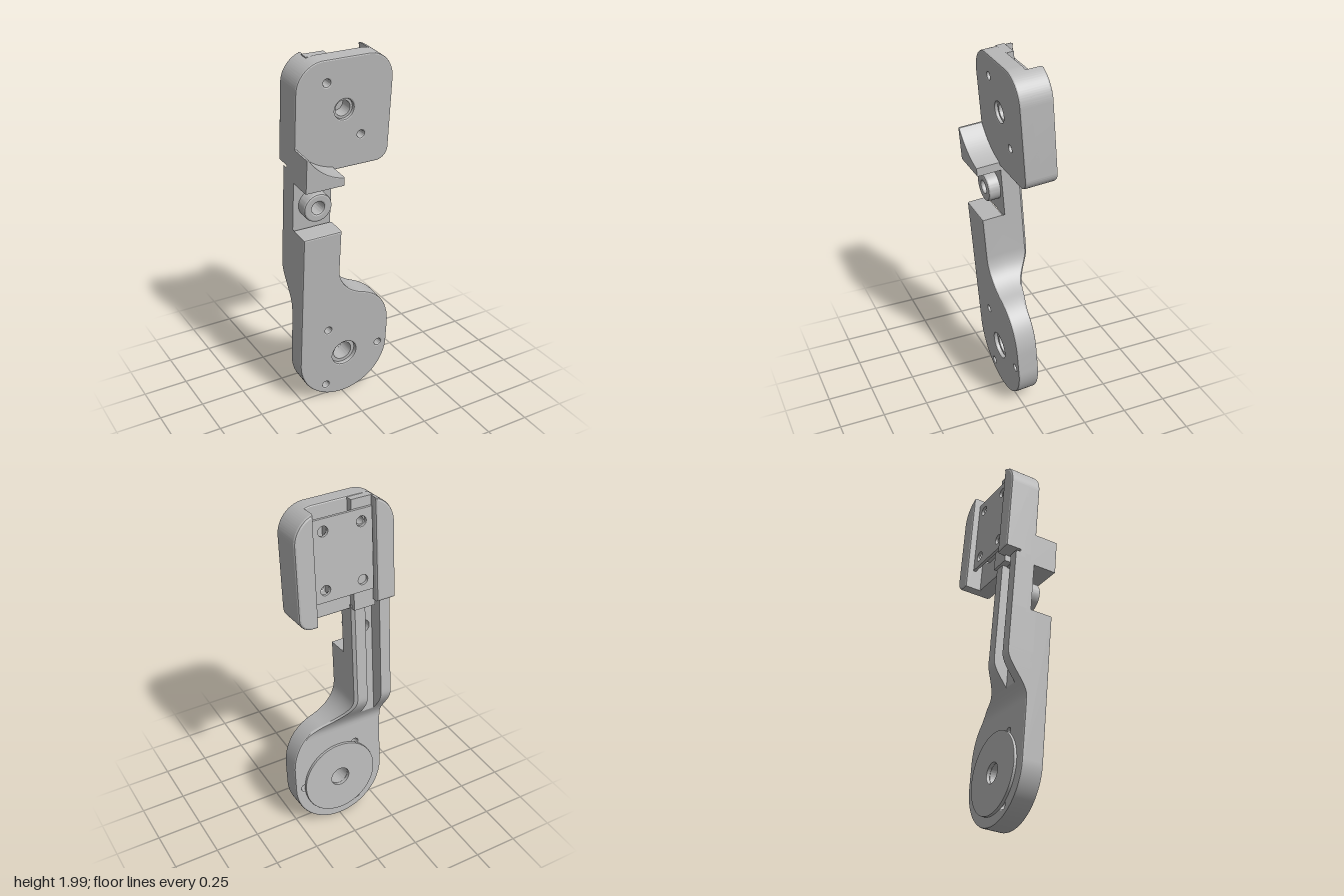
import * as THREE from 'three';
import { toCreasedNormals } from 'three/addons/utils/BufferGeometryUtils.js';

const grey = new THREE.MeshStandardMaterial({ color: 0xb9b9b9 });
grey.name = 'machinedGrey';
const V = (x, y) => new THREE.Vector2(x, y);

// Main dimensions, in the untilted frame
const XL = -0.275, XR = 0.275, ARM = -0.055;
const BASE_Y = 0.278, HEAD_Y = 1.712, TOP = 1.987, BOTTOM = 1.384, STEP_Y = 1.088;
const PIVOT = [-0.165, 1.222];

export function createModel() {
  const model = new THREE.Group();
  const body = new THREE.Group();
  body.name = 'tiltedBody';
  body.rotation.x = 0.0838;
  model.add(body);

  const add = (name, geometry) => {
    const mesh = new THREE.Mesh(toCreasedNormals(geometry, 0.3), grey);
    mesh.name = name;
    body.add(mesh);
  };
  // Extrudes a front outline from z0 to z1, with round holes [x, y, r]
  const slab = (name, shape, z0, z1, bevel = 0, holes = []) => {
    for (const [x, y, r] of holes) shape.holes.push(new THREE.Path().absarc(x, y, r, 0, Math.PI * 2, true));
    const geometry = new THREE.ExtrudeGeometry(shape, {
      depth: z1 - z0 - 2 * bevel, curveSegments: 32, bevelEnabled: bevel > 0,
      bevelSize: bevel, bevelThickness: bevel, bevelOffset: -bevel, bevelSegments: 2,
    });
    add(name, geometry.translate(0, 0, z0 + bevel));
  };
  const rect = (x0, y0, x1, y1) => new THREE.Shape([V(x0, y0), V(x1, y0), V(x1, y1), V(x0, y1)]);
  const ring = (name, x, y, r, hole, z0, z1, bevel = 0) =>
    slab(name, new THREE.Shape().absarc(x, y, r, 0, Math.PI * 2), z0, z1, bevel, [[x, y, hole]]);

  // Round base running up into the front of the arm
  const shoulder = new THREE.CubicBezierCurve(V(XR, 0.4), V(XR, 0.55), V(0.19, 0.635), V(0.1, 0.665));
  const neck = new THREE.CubicBezierCurve(V(0.1, 0.665), V(0.02, 0.69), V(ARM, 0.75), V(ARM, 0.85));
  const side = [...shoulder.getPoints(16), ...neck.getPoints(16).slice(1)];
  const base = new THREE.Shape();
  base.moveTo(XL, BASE_Y);
  base.absarc(0, BASE_Y, XR, Math.PI, Math.PI * 2);
  side.forEach((p) => base.lineTo(p.x, p.y));
  base.lineTo(ARM, STEP_Y);
  base.lineTo(XL, STEP_Y);
  const screws = [0, 1, 2].map((i) => {
    const a = i * Math.PI * 2 / 3;
    return [0.22 * Math.cos(a), BASE_Y + 0.22 * Math.sin(a), 0.02];
  });
  slab('base', base, -0.09, 0.028, 0.008, [[0, BASE_Y, 0.075], ...screws]);
  ring('baseBore', 0, BASE_Y, 0.085, 0.055, -0.085, 0.005);
  ring('baseDisc', 0, BASE_Y, 0.22, 0.055, -0.105, -0.085, 0.003);

  // Rear of the arm: cross-sections with a groove, swept up the neck
  const rows = side.filter((p) => p.y > 0.59).map((p) => [p.x, p.y, -0.07]);
  rows.push([ARM, STEP_Y, -0.07], [ARM, STEP_Y, -0.1], [ARM, 1.41, -0.1]);
  const sections = rows.map(([x, y, f]) => {
    const b = -0.09 - 0.122 * THREE.MathUtils.smoothstep(y, 0.6, 0.83);
    const c = Math.min(0.015, (f - b) / 2);
    const g = Math.max(b, -0.13);
    return [[XL, f], [XL, b], [-0.215, b], [-0.215, g], [-0.13, g], [-0.13, b], [x - c, b], [x, b + c], [x, f]]
      .map(([px, pz]) => [px, y, pz]);
  });
  const verts = [];
  for (let i = 0; i < sections.length - 1; i++) {
    for (let j = 0; j < 8; j++) {
      if (j === 3 && i === sections.length - 2) continue; // floor here is the pierced web
      const [a, b, c, d] = [sections[i][j], sections[i + 1][j], sections[i + 1][j + 1], sections[i][j + 1]];
      verts.push(...a, ...b, ...c, ...a, ...c, ...d);
    }
  }
  const arm = new THREE.BufferGeometry();
  arm.setAttribute('position', new THREE.Float32BufferAttribute(verts, 3));
  add('armRear', arm);
  slab('armWeb', rect(XL, STEP_Y - 0.02, ARM, 1.41), -0.13, -0.1, 0, [[...PIVOT, 0.035]]);
  ring('pivotBoss', ...PIVOT, 0.08, 0.035, -0.11, -0.033, 0.01);

  // Stop block with a hollow concentric with the head and a blunt tip
  const r = 0.312, tip = 1.545;
  const stop = new THREE.Shape([V(XL, tip), V(XL, 1.358), V(ARM, 1.358)]);
  stop.absarc(0, HEAD_Y, r, Math.PI + Math.acos(-ARM / r), Math.PI + Math.asin((HEAD_Y - tip) / r), true);
  slab('stopBlock', stop, -0.13, 0.032, 0.005);

  // Head
  const R = 0.15, q = 0.07;
  const head = new THREE.Shape();
  head.moveTo(XL, BOTTOM);
  head.lineTo(XR - q, BOTTOM);
  head.absarc(XR - q, BOTTOM + q, q, -Math.PI / 2, 0);
  head.absarc(XR - R, TOP - R, R, 0, Math.PI / 2);
  head.absarc(XL + R, TOP - R, R, Math.PI / 2, Math.PI);
  const dx = 0.105, dy = 0.155;
  slab('head', head, -0.187, -0.097, 0.008,
    [[0, HEAD_Y, 0.055], [-dx, HEAD_Y + dy, 0.02], [dx, HEAD_Y - dy, 0.02]]);
  ring('headBore', 0, HEAD_Y, 0.06, 0.042, -0.187, -0.115);

  // Side rails at the back of the head; the right one stops short, above the arm
  const inner = 0.17, cut = Math.acos((inner - (XR - R)) / R);
  const leftEdge = new THREE.Shape();
  leftEdge.moveTo(inner, BOTTOM);
  leftEdge.lineTo(XR - q, BOTTOM);
  leftEdge.absarc(XR - q, BOTTOM + q, q, -Math.PI / 2, 0);
  leftEdge.absarc(XR - R, TOP - R, R, 0, cut);
  slab('leftRail', leftEdge, -0.276, -0.15, 0.012);
  const rightEdge = new THREE.Shape();
  rightEdge.moveTo(XL, BOTTOM + 0.04);
  rightEdge.lineTo(-inner, BOTTOM + 0.04);
  rightEdge.absarc(XL + R, TOP - R, R, Math.PI - cut, Math.PI);
  slab('rightRail', rightEdge, -0.27, -0.15, 0.012);

  // Stepped recess and the screwed plate between the rails
  slab('recessStep', rect(-0.18, BOTTOM + 0.005, -0.06, TOP - 0.005), -0.226, -0.18, 0,
    [[-dx, HEAD_Y + dy, 0.02]]);
  slab('plateSupport', rect(-0.065, HEAD_Y - 0.19, 0.08, HEAD_Y + 0.19), -0.226, -0.187);
  const holes = [];
  for (const sx of [-1, 1]) for (const sy of [-1, 1]) holes.push([sx * dx, HEAD_Y + sy * dy, 0.027]);
  slab('backPlate', rect(-0.166, HEAD_Y - 0.22, 0.166, HEAD_Y + 0.22), -0.242, -0.225, 0.002, holes);

  return model;
}
